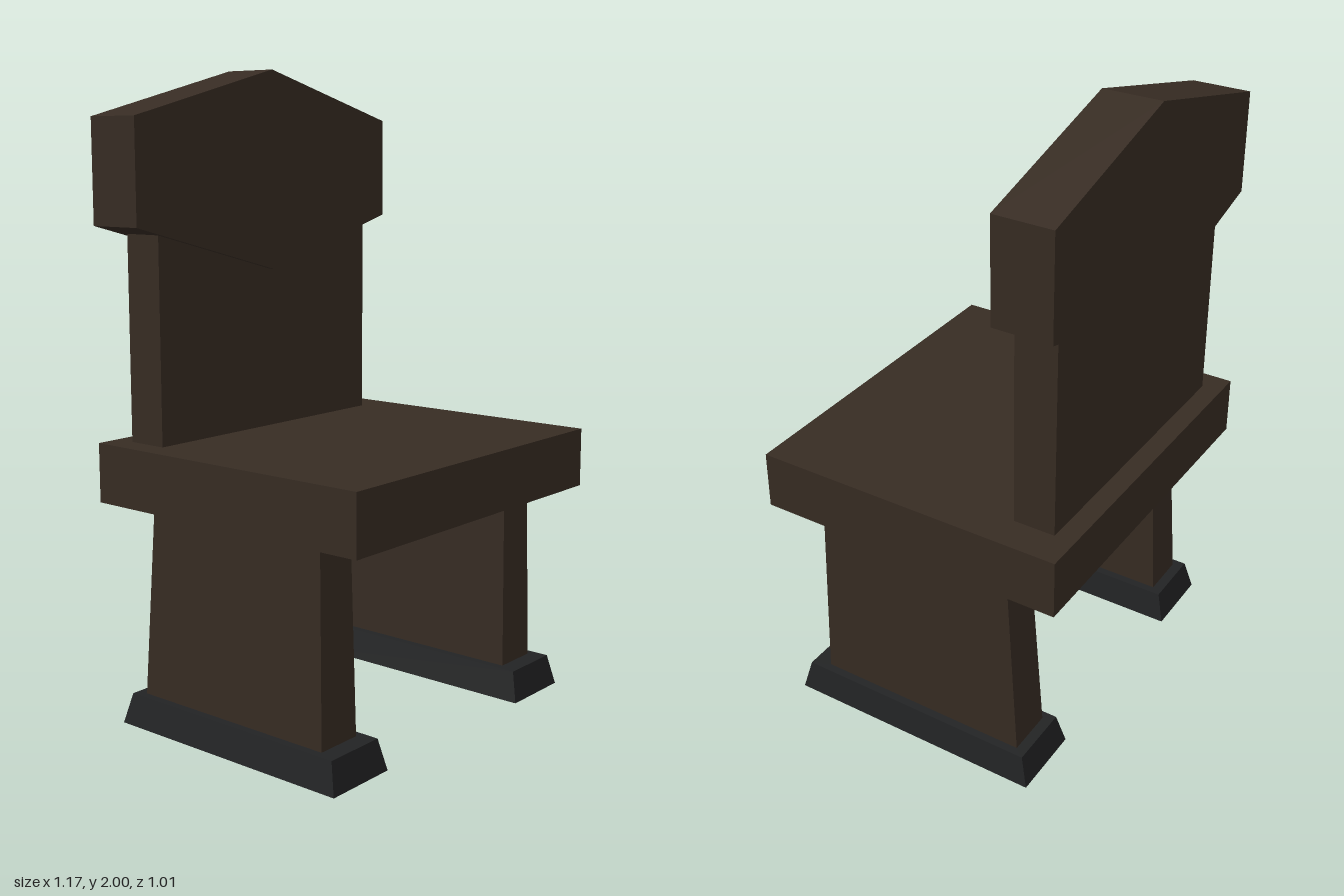
import * as THREE from 'three';

// Flat-faced surface through rectangular rings [x0, x1, z0, z1, y], open at both ends
function loft(rings) {
  const pos = [];
  const corners = ([x0, x1, z0, z1, y]) => [[x0, y, z1], [x1, y, z1], [x1, y, z0], [x0, y, z0]];
  for (let r = 0; r < rings.length - 1; r++) {
    const lo = corners(rings[r]);
    const hi = corners(rings[r + 1]);
    for (let i = 0; i < 4; i++) {
      const j = (i + 1) % 4;
      pos.push(...lo[i], ...lo[j], ...hi[j], ...lo[i], ...hi[j], ...hi[i]);
    }
  }
  const geo = new THREE.BufferGeometry();
  geo.setAttribute('position', new THREE.Float32BufferAttribute(pos, 3));
  geo.computeVertexNormals();
  return geo;
}

// Box given by its limits on each axis
function box(x0, x1, y0, y1, z0, z1) {
  return new THREE.BoxGeometry(x1 - x0, y1 - y0, z1 - z0)
    .translate((x0 + x1) / 2, (y0 + y1) / 2, (z0 + z1) / 2);
}

export function createModel() {
  const group = new THREE.Group();
  const wood = new THREE.MeshStandardMaterial({ name: 'darkWood', color: 0x372c23, side: THREE.DoubleSide });
  const iron = new THREE.MeshStandardMaterial({ name: 'darkIron', color: 0x222324, side: THREE.DoubleSide });

  const add = (name, geometry, material) => {
    const mesh = new THREE.Mesh(geometry, material);
    mesh.name = name;
    group.add(mesh);
  };

  // Seat slab and upright back panel
  add('seat', box(-0.567, 0.57, 0.69, 0.875, -0.505, 0.505), wood);
  add('backPanel', box(-0.49, 0.46, 0.87, 1.6, -0.44, -0.307), wood);

  // Hexagonal head board
  const outline = new THREE.Shape([
    [-0.588, 1.533], [-0.008, 1.38], [0.549, 1.533],
    [0.549, 1.85], [-0.008, 2], [-0.588, 1.85],
  ].map(([x, y]) => new THREE.Vector2(x, y)));
  const board = new THREE.ExtrudeGeometry(outline, { depth: 0.185, bevelEnabled: false });
  add('headBoard', board.translate(0, 0, -0.476), wood);

  // Tapered hollow legs, each in a flared foot that is open underneath
  for (const [side, cx] of [['right', -0.444], ['left', 0.463]]) {
    const legBase = [cx - 0.076, cx + 0.076, -0.368, 0.342, 0.096];
    const legTop = [cx - 0.066, cx + 0.066, -0.327, 0.33, 0.69];
    add(side + 'Leg', loft([legBase, legTop]), wood);
    add(side + 'Foot', loft([
      [cx - 0.12, cx + 0.12, -0.428, 0.423, 0],
      [cx - 0.102, cx + 0.102, -0.402, 0.4, 0.096],
      legBase,
    ]), iron);
  }

  return group;
}
